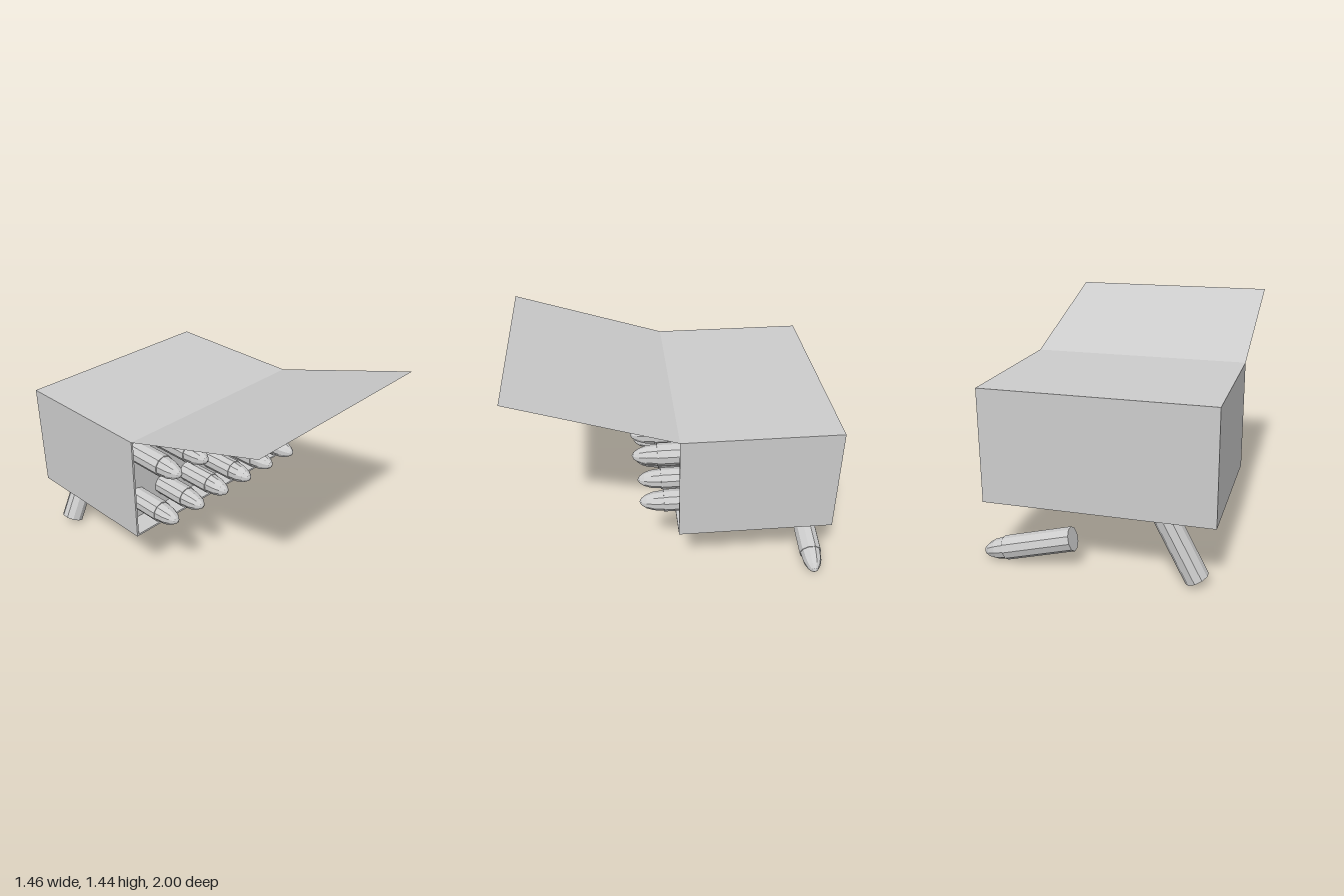
import * as THREE from 'three';

export function createModel() {
  const model = new THREE.Group();
  const grey = new THREE.MeshStandardMaterial({ color: 0xcccccc, flatShading: true });
  grey.name = 'light grey';
  const greySheet = new THREE.MeshStandardMaterial({ color: 0xcccccc, flatShading: true, side: THREE.DoubleSide });
  greySheet.name = 'light grey sheet';

  function add(name, geometry, material = grey) {
    const mesh = new THREE.Mesh(geometry, material);
    mesh.name = name;
    model.add(mesh);
    return mesh;
  }

  // Carton extents
  const x0 = -0.735, x1 = 0.68, y0 = 0.41, y1 = 1.12;
  const back = -1, front = -0.01, panel = -0.16, wall = 0.013;
  const width = x1 - x0, height = y1 - y0, cx = (x0 + x1) / 2, cy = (y0 + y1) / 2;

  // Closed body behind the recessed panel
  add('cartonBody', new THREE.BoxGeometry(width, height, panel - back))
    .position.set(cx, cy, (panel + back) / 2);

  // Thin rim around the open front
  const rectangle = (Type, inset) => new Type([
    new THREE.Vector2(x0 + inset, y0 + inset), new THREE.Vector2(x1 - inset, y0 + inset),
    new THREE.Vector2(x1 - inset, y1 - inset), new THREE.Vector2(x0 + inset, y1 - inset),
  ]);
  const rim = rectangle(THREE.Shape, 0);
  rim.holes.push(rectangle(THREE.Path, wall));
  add('cartonRim', new THREE.ExtrudeGeometry(rim, { depth: front - panel, bevelEnabled: false }))
    .position.z = panel;

  // Raised flap, a sheet hinged on the top front edge
  const rise = 0.322, reach = 1 - front;
  const flap = add('flap', new THREE.PlaneGeometry(width, Math.hypot(rise, reach)), greySheet);
  flap.position.set(cx, y1 + rise / 2, (front + 1) / 2);
  flap.rotation.x = -Math.PI / 2 - Math.atan2(rise, reach);

  // Ten-sided cartridge with its base at the origin, pointing along +y
  const profile = [
    [0, 0], [0.075, 0], [0.075, 0.45], [0.069, 0.45],
    [0.062, 0.515], [0.046, 0.56], [0.024, 0.59], [0, 0.603],
  ].map(([r, y]) => new THREE.Vector2(r, y));
  const cartridgeGeometry = new THREE.LatheGeometry(profile, 10);

  // Two rows standing out of the carton
  for (const [row, y, tip] of [['upper', 0.945, 0.27], ['lower', 0.58, 0.23]]) {
    for (let i = 0; i < 6; i++) {
      const cartridge = add(`${row}Cartridge${i + 1}`, cartridgeGeometry);
      cartridge.scale.set(0.95, 1, 0.95);
      cartridge.rotation.x = Math.PI / 2;
      cartridge.position.set(-0.593 + i * 0.2262, y, tip - 0.603);
    }
  }

  // Two loose cartridges propping up the back
  for (const [name, x, y, angle] of [
    ['rightProp', -0.618, 0.042, 62.6], ['leftProp', 0.142, 0.197, -15.1],
  ]) {
    const prop = add(name + 'Cartridge', cartridgeGeometry);
    prop.position.set(x, y, -0.92);
    prop.rotation.z = THREE.MathUtils.degToRad(angle - 90);
  }

  return model;
}
